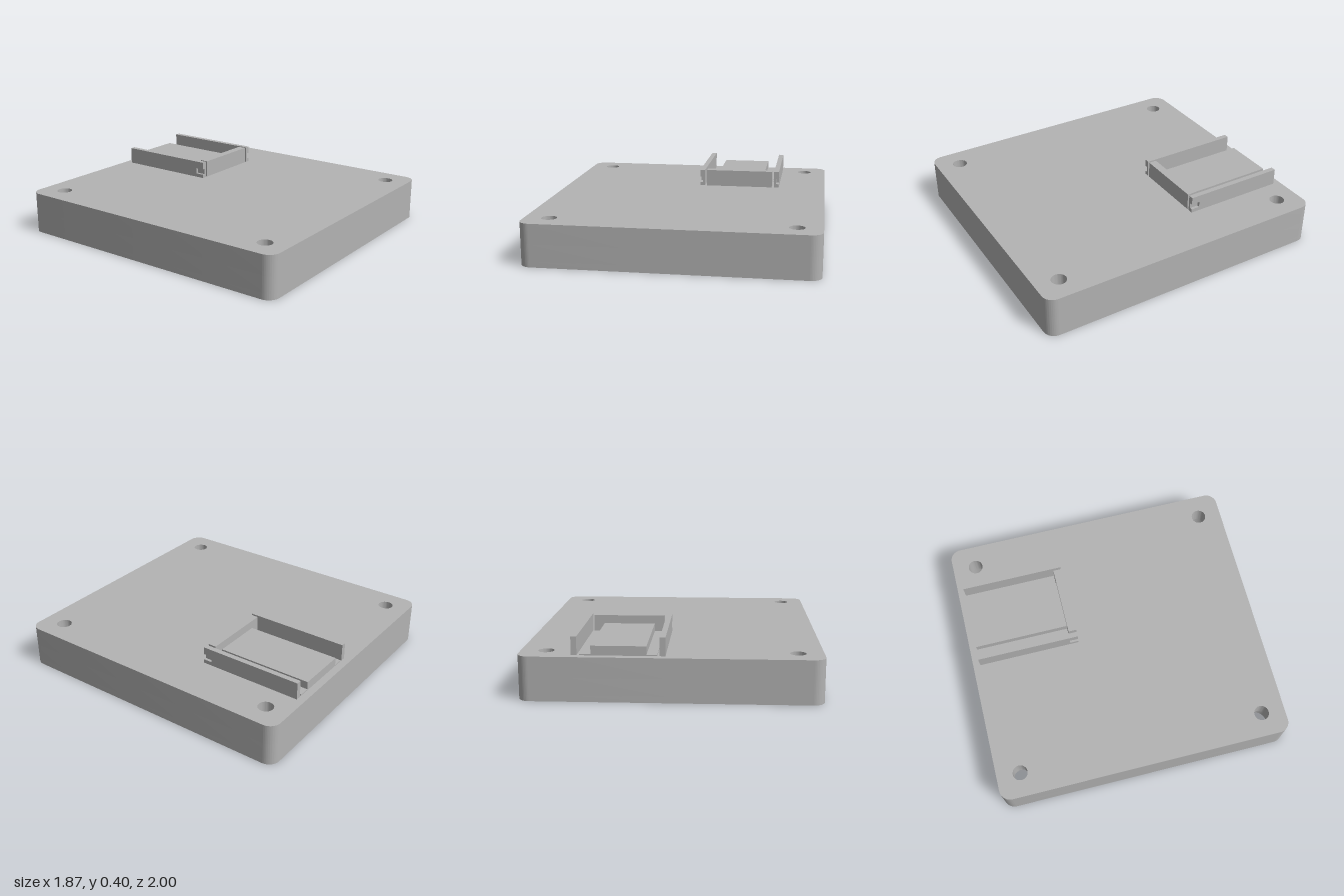
import * as THREE from 'three';
import { toCreasedNormals } from 'three/addons/utils/BufferGeometryUtils.js';

const W = 0.935, D = 1, CORNER = 0.075, TOP = 0.28, CLIP_TOP = 0.395;
const FOUR = [[1, 1], [1, -1], [-1, 1], [-1, -1]];

function roundedOutline() {
  const s = new THREE.Shape(), r = CORNER;
  s.absarc(W - r, D - r, r, 0, Math.PI / 2);
  s.absarc(-W + r, D - r, r, Math.PI / 2, Math.PI);
  s.absarc(-W + r, -D + r, r, Math.PI, Math.PI * 1.5);
  s.absarc(W - r, -D + r, r, Math.PI * 1.5, Math.PI * 2);
  s.closePath();
  return s;
}

// One slab of the base, with mirrored round holes: [x, z, radius]
function slab(y0, y1, holes) {
  const shape = roundedOutline();
  for (const [x, z, r] of holes) {
    for (const [sx, sz] of FOUR) {
      shape.holes.push(new THREE.Path().absarc(sx * x, sz * z, r, 0, Math.PI * 2, true));
    }
  }
  const g = new THREE.ExtrudeGeometry(shape, { depth: y1 - y0, bevelEnabled: false, curveSegments: 20 });
  g.rotateX(-Math.PI / 2).translate(0, y0, 0);
  return toCreasedNormals(g, 0.6);
}

export function createModel() {
  const model = new THREE.Group();
  model.name = 'basePlateWithClip';
  const grey = new THREE.MeshStandardMaterial({ color: 0xb3b3b3 });
  grey.name = 'grey';

  const add = (parent, name, geometry) => {
    const m = new THREE.Mesh(geometry, grey);
    m.name = name;
    parent.add(m);
  };
  const box = (parent, name, x0, x1, y0, y1, z0, z1) => add(parent, name,
    new THREE.BoxGeometry(x1 - x0, y1 - y0, z1 - z0)
      .translate((x0 + x1) / 2, (y0 + y1) / 2, (z0 + z1) / 2));

  // Base: screw holes, wider counterbores below, shallow foot recesses
  const base = new THREE.Group();
  base.name = 'base';
  model.add(base);
  add(base, 'recessLayer', slab(0, 0.04, [[0.775, 0.84, 0.08], [0.51, 0.805, 0.178]]));
  add(base, 'counterboreLayer', slab(0.04, 0.15, [[0.775, 0.84, 0.08]]));
  add(base, 'topLayer', slab(0.15, TOP, [[0.775, 0.84, 0.05]]));

  // Tray between the rails: thin floor, raised platform, front wall
  const tray = new THREE.Group();
  tray.name = 'tray';
  model.add(tray);
  box(tray, 'trayFloor', 0.08, 0.555, TOP, TOP + 0.008, -0.95, -0.305);
  box(tray, 'platform', 0.145, 0.485, TOP, 0.34, -0.95, -0.305);
  box(tray, 'frontWall', 0.08, 0.555, TOP, CLIP_TOP, -0.305, -0.25);

  // Side rails, each with a notch in the outer front corner
  for (const side of [-1, 1]) {
    const rail = new THREE.Group();
    rail.name = side > 0 ? 'leftRail' : 'rightRail';
    model.add(rail);
    const outer = 0.3175 + side * 0.2875, inner = outer - side * 0.035, web = outer - side * 0.02;
    const piece = (name, a, b, y0, y1, z0, z1) =>
      box(rail, name, Math.min(a, b), Math.max(a, b), y0, y1, z0, z1);
    piece('railBody', inner, outer, TOP, CLIP_TOP, -0.95, -0.31);
    piece('notchBottom', inner, outer, TOP, 0.305, -0.31, -0.25);
    piece('notchWeb', inner, web, 0.305, 0.345, -0.31, -0.25);
    piece('notchTop', inner, outer, 0.345, CLIP_TOP, -0.31, -0.25);
  }
  return model;
}
